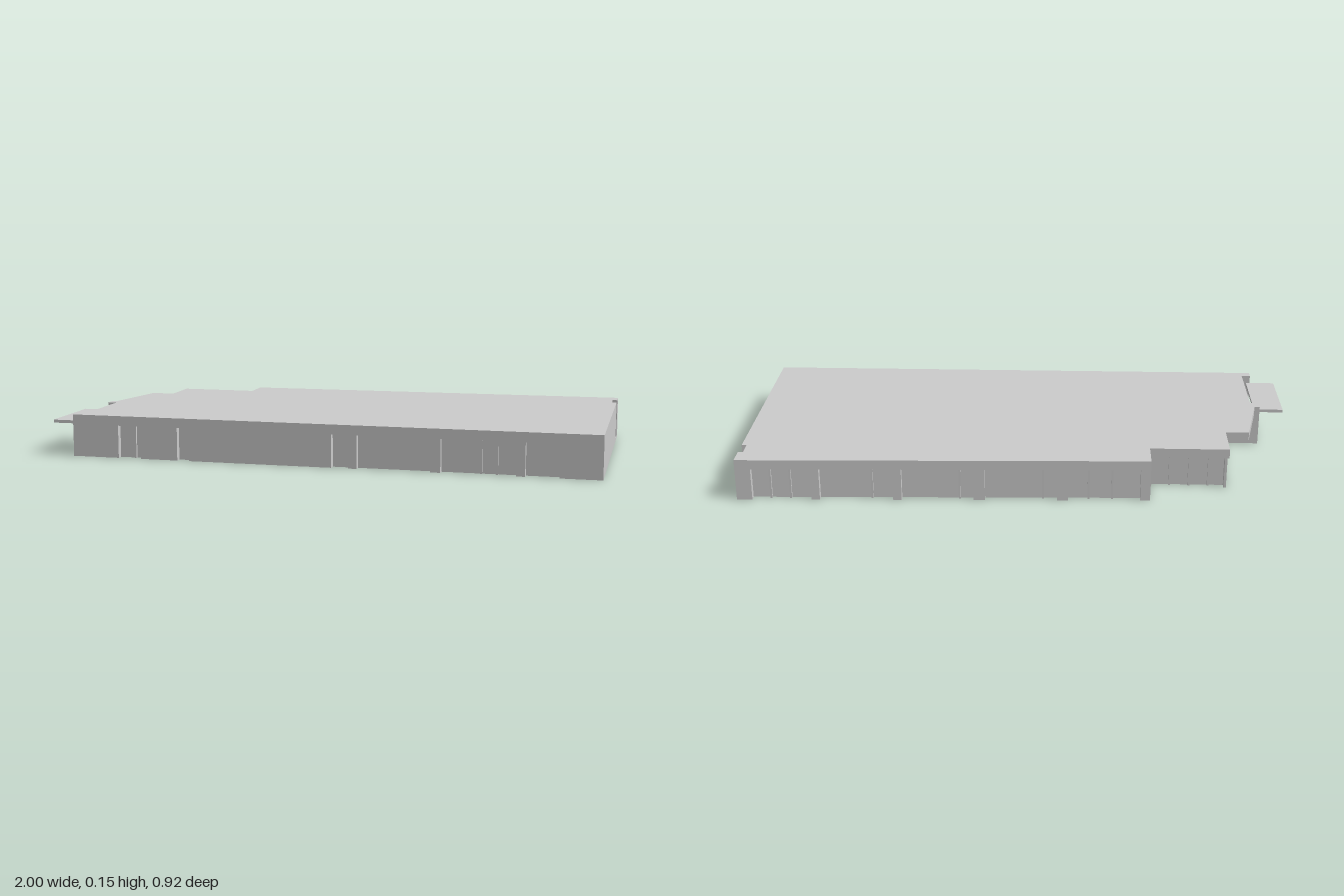
import * as THREE from 'three';

const H = 0.153, HEAD = 0.118, SILL = 0.01, DEPTH = 0.022;

// Slightly skewed rear wall line
const rearZ = x => -0.42 - 0.04 * (x + 0.465) / 1.465;
const frontZ = () => 0.455;
const wingZ = () => -0.304;

// Window and door bays: [x from, x to, mullion positions]
const frontBays = [
  [-0.73, -0.645, [-0.67]], [-0.505, -0.46, []], [0.065, 0.125, []],
  [0.155, 0.415, []], [0.45, 0.71, [0.588, 0.644]], [0.74, 0.855, []],
];
const rearBays = [
  [0.945, 0.735, [0.88, 0.81]], [0.705, 0.445, [0.52]], [0.415, 0.16, [0.21]],
  [0.12, -0.135, [-0.085]], [-0.175, -0.43, [-0.247, -0.33]],
];
const wingBays = [[-0.475, -0.735, [-0.54, -0.61, -0.68]]];

// Outline points of the recesses in one wall; dir is the inward z direction
const recesses = (bays, wallZ, dir) => bays.flatMap(([a, b]) => [
  [a, wallZ(a)], [a, wallZ(a) + dir * DEPTH], [b, wallZ(b) + dir * DEPTH], [b, wallZ(b)],
]);

export function createModel() {
  const group = new THREE.Group();
  const material = new THREE.MeshStandardMaterial({ color: 0xcccccc, flatShading: true });

  const add = (name, geometry) => {
    const mesh = new THREE.Mesh(geometry, material);
    mesh.name = name;
    group.add(mesh);
    return mesh;
  };

  // Prism over an (x, z) outline between two heights
  const slab = (name, points, y0, y1) => {
    const shape = new THREE.Shape(points.map(([x, z]) => new THREE.Vector2(x, -z)));
    const geometry = new THREE.ExtrudeGeometry(shape, { depth: y1 - y0, bevelEnabled: false });
    geometry.rotateX(-Math.PI / 2).translate(0, y0, 0);
    return add(name, geometry);
  };

  // Niche in the right end wall, open at the top
  const niche = [[1, -0.33], [0.982, -0.33], [0.982, -0.39], [1, -0.39]];

  // Ground storey outline with recessed bays, side entrance and wing walls
  const storey = withNiche => [
    [-0.905, 0.455], ...recesses(frontBays, frontZ, -1), [1, 0.455],
    ...(withNiche ? niche : []),
    [1, -0.46], ...recesses(rearBays, rearZ, 1), [-0.465, -0.42],
    [-0.465, -0.304], ...recesses(wingBays, wingZ, 1), [-0.744, -0.304],
    [-0.77, 0.095], [-0.905, 0.095], [-0.905, 0.135],
    [-0.82, 0.135], [-0.82, 0.42], [-0.905, 0.42],
  ];
  slab('floorSlab', storey(false), 0, SILL);
  slab('walls', storey(true), SILL, HEAD);

  // Roof and fascia, overhanging the slanted side wall and the entrance
  slab('roof', [
    [-0.905, 0.455], [1, 0.455], ...niche, [1, -0.46], [-0.465, -0.42],
    [-0.465, -0.31], [-0.75, -0.31], [-0.75, -0.155], [-0.835, -0.155],
    [-0.885, 0.095], [-0.905, 0.095], [-0.905, 0.135],
    [-0.872, 0.135], [-0.872, 0.42], [-0.905, 0.42],
  ], HEAD, H);

  // Entrance canopy
  add('entranceCanopy', new THREE.BoxGeometry(0.11, 0.011, 0.28)).position.set(-0.945, 0.119, 0.277);

  // Mullions standing in the bays
  const mullions = (name, bays, wallZ, dir) => {
    for (const [, , xs] of bays) for (const x of xs) {
      add(name, new THREE.BoxGeometry(0.007, HEAD, 0.01))
        .position.set(x, HEAD / 2, wallZ(x) + dir * (DEPTH - 0.004));
    }
  };
  mullions('frontMullion', frontBays, frontZ, -1);
  mullions('rearMullion', rearBays, rearZ, 1);
  mullions('wingMullion', wingBays, wingZ, 1);

  return group;
}
